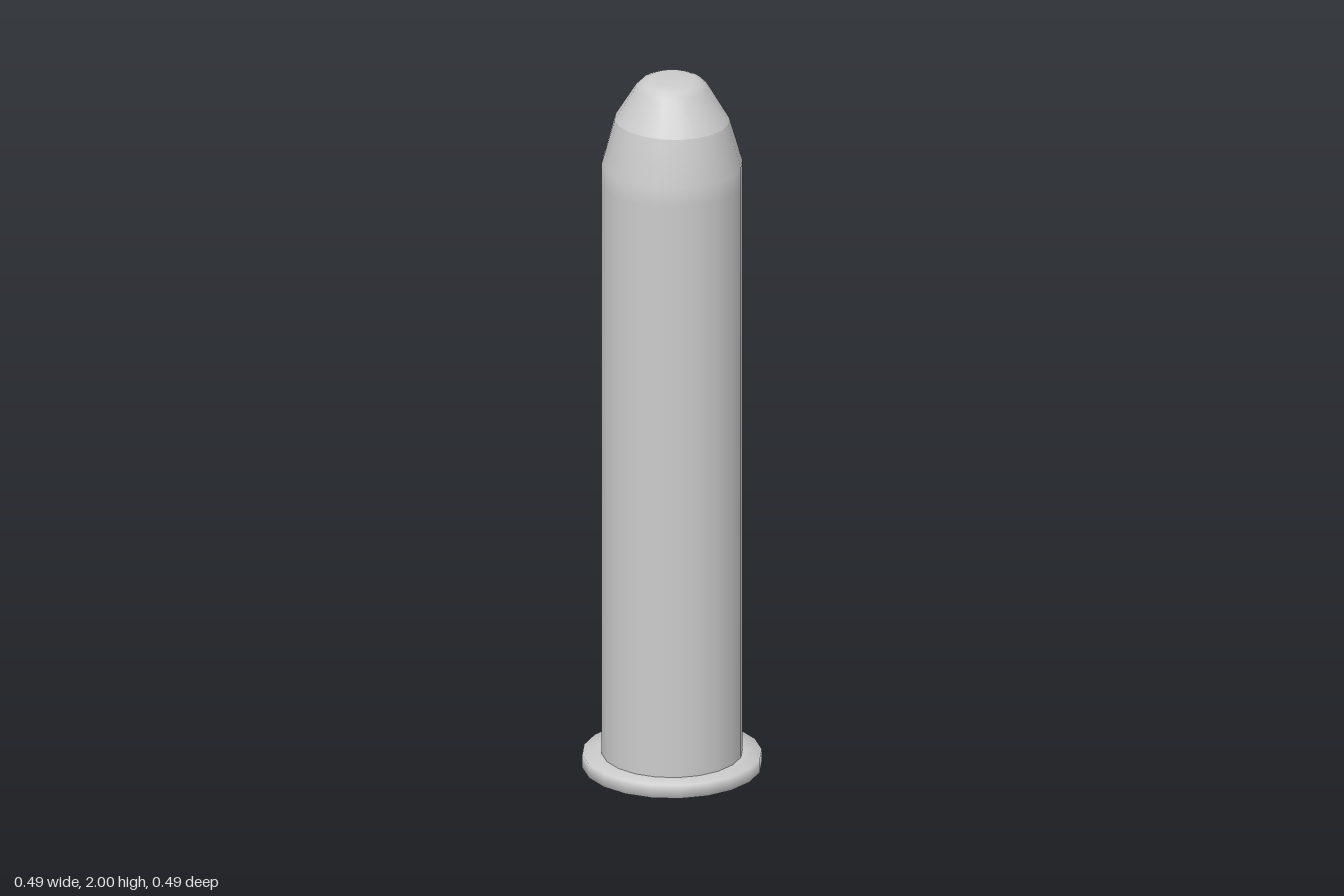
import * as THREE from 'three';

const SIDES = 20;
const material = new THREE.MeshStandardMaterial({ color: 0xcccccc });

// Smooth turned part from [radius, height] pairs, listed bottom to top
function turned(name, profile) {
  const points = profile.map(([r, y]) => new THREE.Vector2(r, y));
  const geometry = new THREE.LatheGeometry(points, SIDES);
  // The ring where the nose meets the shoulder is slightly oval
  const pos = geometry.attributes.position;
  for (let i = 0; i < pos.count; i++) {
    if (Math.abs(pos.getY(i) - 1.88) < 0.001) pos.setZ(i, pos.getZ(i) * 0.94);
  }
  const mesh = new THREE.Mesh(geometry, material);
  mesh.name = name;
  return mesh;
}

export function createModel() {
  const model = new THREE.Group();
  model.name = 'cartridge';

  // Base rim with rounded shading
  model.add(turned('rim', [[0, 0], [0.22, 0], [0.243, 0.002], [0.243, 0.04], [0.19, 0.042]]));

  // Long straight body with tapered shoulder
  model.add(turned('body', [[0.191, 0.04], [0.191, 1.7], [0.191, 1.755], [0.158, 1.88]]));

  // Rounded nose with a small flat top
  model.add(turned('nose', [[0.158, 1.88], [0.1, 1.973], [0.083, 1.99], [0.06, 2], [0, 2]]));

  return model;
}
